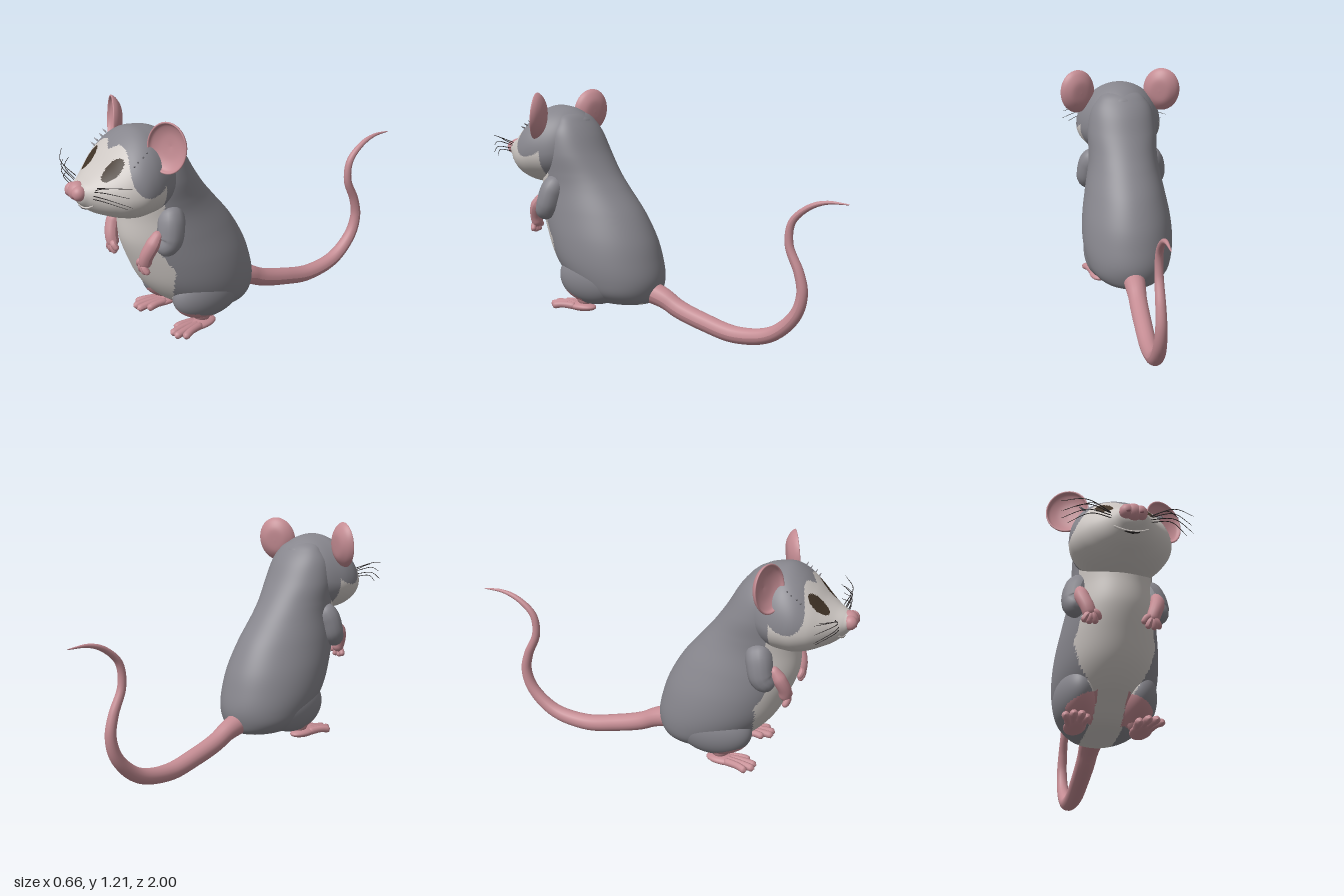
import * as THREE from 'three';

const mat = (name, color) => Object.assign(new THREE.MeshStandardMaterial({ color }), { name });
const grey = mat('grey fur', 0x87868d);
const cream = mat('pale fur', 0xcdc7c3);
const pink = mat('pink skin', 0xc48c93);
const rose = mat('dark pink', 0x94606a);
const brown = mat('eye brown', 0x3f3226);
const dark = mat('dark hair', 0x2c2828);
const V = (x, y, z) => new THREE.Vector3(x, y, z);

// Smooth skin through cross-section rows; place(row, angle) gives a surface point
function loft(rows, segs, ring, place) {
  const n = rows[0].length;
  const spline = new THREE.CubicInterpolant(rows.map((_, i) => i), rows.flat(), n, new Array(n));
  const pos = [], index = [];
  for (let i = 0; i <= segs; i++) {
    const row = [...spline.evaluate((i / segs) * (rows.length - 1))];
    for (let j = 0; j < ring; j++) pos.push(...place(row, (j / ring) * Math.PI * 2));
    if (i === segs) break;
    for (let j = 0; j < ring; j++) {
      const k = (j + 1) % ring, a = i * ring, b = a + ring;
      index.push(a + j, a + k, b + k, a + j, b + k, b + j);
    }
  }
  const g = new THREE.BufferGeometry();
  g.setAttribute('position', new THREE.Float32BufferAttribute(pos, 3));
  g.setIndex(index);
  g.computeVertexNormals();
  return g;
}

// Sorts the triangles into material groups; pick(|x|, y, z) returns the group number
function paint(g, count, pick) {
  const p = g.attributes.position, idx = g.index.array;
  const sets = Array.from({ length: count }, () => []);
  for (let i = 0; i < idx.length; i += 3) {
    const t = [idx[i], idx[i + 1], idx[i + 2]];
    const mid = (f) => (p[f](t[0]) + p[f](t[1]) + p[f](t[2])) / 3;
    sets[pick(Math.abs(mid('getX')), mid('getY'), mid('getZ'))].push(...t);
  }
  g.setIndex(sets.flat());
  let start = 0;
  sets.forEach((s, i) => { g.addGroup(start, s.length, i); start += s.length; });
  return g;
}

// Tube with changing radius and rounded ends
function limb(points, radii, segs = 28, ring = 14) {
  const curve = new THREE.CatmullRomCurve3(points);
  const g = new THREE.TubeGeometry(curve, segs, 1, ring), p = g.attributes.position;
  const len = curve.getLength();
  for (let i = 0; i <= segs; i++) {
    const u = i / segs, c = curve.getPointAt(u);
    const f = u * (radii.length - 1), k = Math.min(Math.floor(f), radii.length - 2);
    let r = THREE.MathUtils.lerp(radii[k], radii[k + 1], f - k);
    const d = Math.min(1, (Math.min(u, 1 - u) * len) / r);
    r *= Math.sqrt(Math.max(0, 1 - (1 - d) ** 2));
    for (let j = 0; j <= ring; j++) {
      const q = i * (ring + 1) + j, v = V().fromBufferAttribute(p, q).sub(c).multiplyScalar(r).add(c);
      p.setXYZ(q, v.x, v.y, v.z);
    }
  }
  g.computeVertexNormals();
  return g;
}

const ball = (x, y, z, rx, ry, rz, seg = 24) =>
  new THREE.SphereGeometry(1, seg, seg).scale(rx, ry, rz).translate(x, y, z);

// Half width of the pale belly at a given height
const BELLY = [[0.1, 0.08], [0.2, 0.075], [0.25, 0.1], [0.35, 0.16], [0.45, 0.188], [0.6, 0.15], [0.72, 0.165], [1.2, 0.2]];
function bellyWidth(y) {
  const i = Math.max(1, BELLY.findIndex((b) => b[0] > y));
  const [y0, w0] = BELLY[i - 1], [y1, w1] = BELLY[i];
  return w0 + ((w1 - w0) * (y - y0)) / (y1 - y0);
}
function bodyColour(x, y, z) {
  if (x > 0.068 && x < 0.2 && z > 0.38 && y < 0.25 - 0.45 * (x - 0.07)) return 2;
  const front = y < 0.165 ? 0.09 : 0.15 + 0.5 * Math.min(y, 0.8);
  return x < bellyWidth(y) && z > front && y < 0.95 ? 1 : 0;
}
function headColour(x, y, z) {
  if (z > 0.7 && ((x - 0.1) / 0.037) ** 2 + ((y - 1.005) / 0.045) ** 2 < 1) return 2;
  const brow = x < 0.045 ? 1.065 + 0.6 * x : 1.092 - 6 * (x - 0.05) ** 2;
  return z > 0.63 && y < brow ? 1 : 0;
}

export function createModel() {
  const model = new THREE.Group();
  const add = (name, geo, material) => {
    const m = new THREE.Mesh(geo, material);
    m.name = name;
    model.add(m);
    return m;
  };

  // Body rows: height, back z, front z, half width
  const body = loft([
    [0.13, 0.25, 0.25, 0], [0.132, 0.13, 0.36, 0.08], [0.15, 0.07, 0.42, 0.15], [0.2, 0.042, 0.49, 0.205],
    [0.27, 0.03, 0.575, 0.232], [0.36, 0.045, 0.645, 0.244], [0.47, 0.08, 0.695, 0.238], [0.6, 0.15, 0.738, 0.215],
    [0.72, 0.243, 0.742, 0.192], [0.8, 0.305, 0.74, 0.187], [0.9, 0.37, 0.72, 0.188], [1.0, 0.425, 0.69, 0.17],
    [1.06, 0.47, 0.64, 0.135], [1.1, 0.515, 0.62, 0.09], [1.12, 0.58, 0.58, 0],
  ], 150, 120, ([y, b, f, w], a) => [w * Math.cos(a), y, (b + f) / 2 - ((f - b) / 2) * Math.sin(a)]);
  add('body', paint(body, 3, bodyColour), [grey, cream, pink]);

  // Head rows: z, top, bottom, half width, height of the widest point
  const headGeo = loft([
    [0.45, 0.92, 0.92, 0, 0.92], [0.47, 1.05, 0.84, 0.09, 0.92], [0.5, 1.09, 0.8, 0.14, 0.92],
    [0.56, 1.127, 0.76, 0.188, 0.91], [0.62, 1.142, 0.74, 0.217, 0.9], [0.68, 1.143, 0.735, 0.233, 0.9],
    [0.74, 1.112, 0.735, 0.233, 0.895], [0.8, 1.057, 0.75, 0.208, 0.89], [0.85, 1.007, 0.77, 0.168, 0.89],
    [0.9, 0.97, 0.795, 0.118, 0.89], [0.94, 0.95, 0.83, 0.078, 0.895], [0.965, 0.938, 0.86, 0.05, 0.9],
    [0.975, 0.9, 0.9, 0, 0.9],
  ], 140, 140, ([z, t, b, w, c], a) =>
    [w * Math.cos(a), c + Math.sin(a) * (Math.sin(a) > 0 ? t - c : c - b), z]);
  const head = add('head', paint(headGeo, 3, headColour), [grey, cream, brown]);
  const ray = new THREE.Raycaster();
  const onFace = (x, y, out = 0) => {
    ray.set(V(x, y, 3), V(0, 0, -1));
    const hit = ray.intersectObject(head)[0];
    return V(x, y, (hit ? hit.point.z : 0.7) + out);
  };

  // Nose and mouth
  add('nose', ball(0, 0.908, 0.955, 0.045, 0.044, 0.044), pink);
  const smile = [-0.08, -0.055, -0.025, 0, 0.025, 0.055, 0.08];
  const lip = (dy, s, out) => smile.map((x) => onFace(x * s, 0.826 + dy + 4.5 * (x * s) ** 2, out));
  add('lip', limb(lip(0, 1, 0), [0.004, 0.008, 0.004], 40, 8), cream);
  add('mouth', limb(lip(-0.003, 0.45, 0.005), [0.003, 0.006, 0.003], 30, 8), dark);

  // Tail
  add('tail', limb([
    V(0, 0.21, 0.12), V(0, 0.175, 0), V(0, 0.13, -0.09), V(0, 0.085, -0.235), V(0, 0.048, -0.42), V(0, 0.08, -0.61),
    V(0, 0.19, -0.735), V(0, 0.3, -0.77), V(0, 0.4, -0.752), V(0, 0.53, -0.698), V(0, 0.64, -0.71),
    V(0, 0.715, -0.79), V(0, 0.747, -0.88), V(0, 0.747, -1),
  ], [0.062, 0.048, 0.046, 0.044, 0.04, 0.034, 0.028, 0.023, 0.019, 0.013, 0.002], 110, 18), pink);

  const earProfile = new THREE.SplineCurve([
    [0, -0.038], [0.05, -0.034], [0.085, -0.012], [0.1, 0.012], [0.094, 0.016], [0.084, 0], [0.05, -0.016], [0, -0.022],
  ].map(([r, y]) => new THREE.Vector2(r, y))).getPoints(32).map((p) => p.setX(Math.max(0, p.x)));

  for (const s of [1, -1]) {
    const side = s > 0 ? 'left' : 'right';
    const P = (x, y, z) => V(s * x, y, z);

    // Ear bowl facing forward and outward, with hair at its root
    const ear = add(side + 'Ear', new THREE.LatheGeometry(earProfile, 40).rotateX(Math.PI / 2).scale(1.02, 1.2, 1), pink);
    ear.position.set(s * 0.228, 1.1, 0.62);
    ear.rotation.set(-0.1, s * 0.4, -s * 0.15);
    for (let i = 0; i < 4; i++) {
      const y = 1.025 + i * 0.016, root = onFace(s * 0.168, y, -0.004);
      add(side + 'EarHair', limb([root, root.clone().add(P(0.025, 0.014, 0.008))], [0.006, 0.001], 4, 6), grey);
    }

    // Nose lobe and nostril
    add(side + 'NoseLobe', ball(s * 0.03, 0.907, 0.965, 0.033, 0.035, 0.034), pink);
    add(side + 'Nostril', ball(s * 0.03, 0.897, 0.994, 0.01, 0.008, 0.005, 12), rose);

    // Whiskers: root height, tip x, tip height
    for (const [y, tx, ty] of [[0.935, 0.31, 0.995], [0.92, 0.3, 0.945], [0.905, 0.305, 0.905], [0.89, 0.275, 0.885], [0.925, 0.24, 0.975]]) {
      const root = onFace(s * 0.085, y, -0.003);
      const mid = P((0.085 + tx) / 2, (y + ty) / 2 + (ty > 0.95 ? 0.012 : 0.02) , 0.925);
      add(side + 'Whisker', limb([root, mid, P(tx, ty, 0.86)], [0.0022, 0.0018, 0.001], 16, 5), dark);
    }

    // Arm, hand and fingers
    add(side + 'UpperArm', limb([P(0.13, 0.78, 0.56), P(0.175, 0.7, 0.585), P(0.188, 0.62, 0.61), P(0.172, 0.585, 0.665)],
      [0.06, 0.066, 0.062, 0.045]), grey);
    add(side + 'Forearm', limb([P(0.175, 0.685, 0.645), P(0.172, 0.62, 0.69), P(0.152, 0.56, 0.712), P(0.135, 0.505, 0.71)],
      [0.02, 0.034, 0.032, 0.03]), pink);
    for (const [x, y] of [[0.175, 0.482], [0.15, 0.474], [0.115, 0.478], [0.095, 0.5]]) {
      add(side + 'Finger', limb([P(0.137, 0.535, 0.715), P((x + 0.137) / 2, y + 0.03, 0.725), P(x, y, 0.715)], [0.018, 0.014], 14, 10), pink);
    }

    // Leg, foot and toes
    add(side + 'Thigh', paint(ball(s * 0.135, 0.27, 0.355, 0.102, 0.142, 0.2, 80), 3, bodyColour), [grey, cream, pink]);
    add(side + 'Ankle', limb([P(0.135, 0.22, 0.42), P(0.14, 0.15, 0.4), P(0.145, 0.105, 0.4)], [0.055, 0.05, 0.035]), pink);
    add(side + 'Foot', ball(s * 0.152, 0.11, 0.42, 0.05, 0.024, 0.09), pink);
    for (const [dx, z] of [[-0.05, 0.55], [-0.018, 0.592], [0.018, 0.592], [0.052, 0.56]]) {
      add(side + 'Toe', limb([P(0.152 + dx * 0.5, 0.112, 0.43), P(0.16 + dx * 0.8, 0.116, 0.51), P(0.168 + dx, 0.107, z)],
        [0.02, 0.018, 0.019], 16, 12), pink);
    }
  }
  return model;
}
